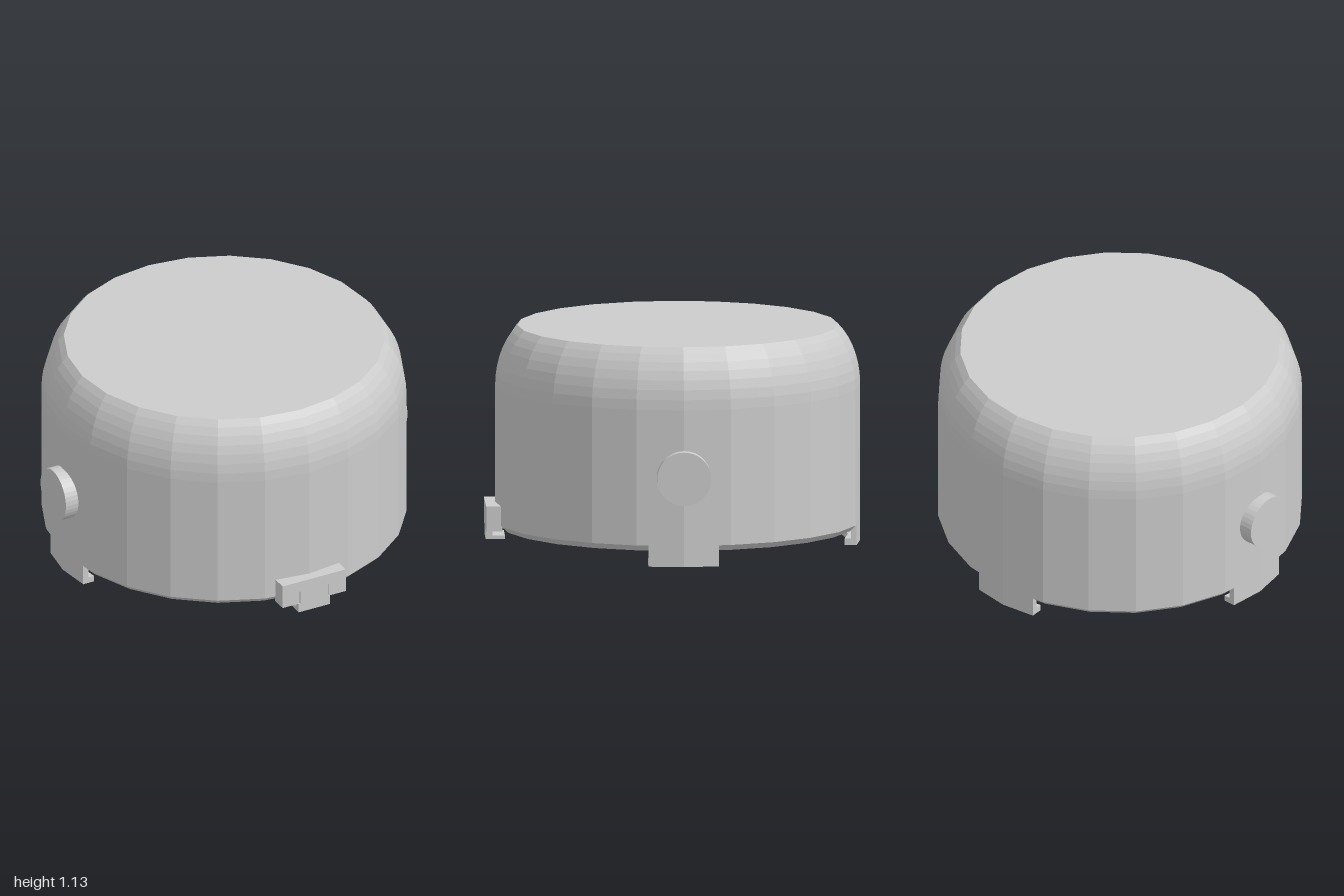
import * as THREE from 'three';

export function createModel() {
  const model = new THREE.Group();
  const mat = new THREE.MeshStandardMaterial({ color: 0xcccccc, flatShading: true });
  const R = 0.945, SIDES = 24, AXIS_Z = -0.027;
  const bend = Math.tan(Math.PI / SIDES); // inward slope of a facet beside a corner

  function add(geometry, name, parent = model) {
    const mesh = new THREE.Mesh(geometry, mat);
    mesh.name = name;
    parent.add(mesh);
    return mesh;
  }

  // Upright prism from a plan outline of [x, z] points, between two heights
  function prism(points, y0, y1) {
    const shape = new THREE.Shape(points.map(([x, z]) => new THREE.Vector2(x, -z)));
    return new THREE.ExtrudeGeometry(shape, { depth: y1 - y0, bevelEnabled: false })
      .rotateX(-Math.PI / 2).translate(0, y0, 0);
  }

  // Strip that follows the two wall facets meeting at +z
  function bentStrip(inner, outer, half, y0, y1) {
    const d = half * bend;
    return prism([[-half, outer - d], [-half, inner - d], [0, inner],
      [half, inner - d], [half, outer - d], [0, outer]], y0, y1);
  }

  // Body: recessed underside, chamfered rim, straight wall, rounded shoulder, flat top
  const profile = [[0, 0.15], [0.81, 0.15], [0.81, 0.08], [0.915, 0.08], [R, 0.11], [R, 0.82]];
  const arc = Math.PI * 0.3, steps = 7;
  for (let i = 1; i <= steps; i++) {
    const a = arc * i / steps;
    profile.push([
      R - 0.115 * (1 - Math.cos(a)) / (1 - Math.cos(arc)),
      0.82 + 0.313 * Math.sin(a) / Math.sin(arc),
    ]);
  }
  profile.push([0, 1.133]);
  const body = add(new THREE.LatheGeometry(profile.map(([x, y]) => new THREE.Vector2(x, y)), SIDES), 'body');
  body.position.z = AXIS_Z;

  // Round pins on both sides
  for (const s of [-1, 1]) {
    const pin = add(new THREE.CylinderGeometry(0.14, 0.14, 0.12, 36).rotateZ(Math.PI / 2), s > 0 ? 'leftPin' : 'rightPin');
    pin.position.set(s * 0.94, 0.467, AXIS_Z);
  }

  // Hooked tabs below the rim: left, back, right
  ['leftTab', 'backTab', 'rightTab'].forEach((name, i) => {
    const tab = new THREE.Group();
    tab.name = name;
    tab.position.z = AXIS_Z;
    tab.rotation.y = Math.PI / 2 * (i + 1);
    add(bentStrip(0.915, R, 0.182, 0, 0.115), 'tabWall', tab);
    add(bentStrip(0.882, 0.92, 0.182, 0, 0.033), 'tabLip', tab);
    model.add(tab);
  });

  // Front clip: plate fitted to the wall, with a slit on each side of a hooked tongue
  const clip = new THREE.Group();
  clip.name = 'frontClip';
  model.add(clip);
  const zFront = 0.97, half = 0.185, tongue = 0.081;
  const back = x => 0.91 - Math.abs(x) * bend;
  add(prism([[-half, zFront], [-half, back(half)], [0, back(0)], [half, back(half)], [half, zFront]], 0.15, 0.21), 'clipBand', clip);
  for (const s of [-1, 1]) {
    const a = s > 0 ? tongue + 0.004 : -half;
    const b = s > 0 ? half : -tongue - 0.004;
    add(prism([[a, zFront], [a, back(a)], [b, back(b)], [b, zFront]], 0.08, 0.15), 'clipCheek', clip);
  }
  add(new THREE.BoxGeometry(tongue * 2 + 0.02, 0.05, 0.035).translate(0, 0.053, 0.9525), 'tongueFoot', clip);
  add(new THREE.BoxGeometry(tongue * 2, 0.075, 0.06).translate(0, 0.1125, 0.94), 'tongue', clip);
  add(new THREE.BoxGeometry(tongue * 2 + 0.02, 0.018, 0.08).translate(0, 0.037, 0.91), 'tongueLip', clip);

  return model;
}
